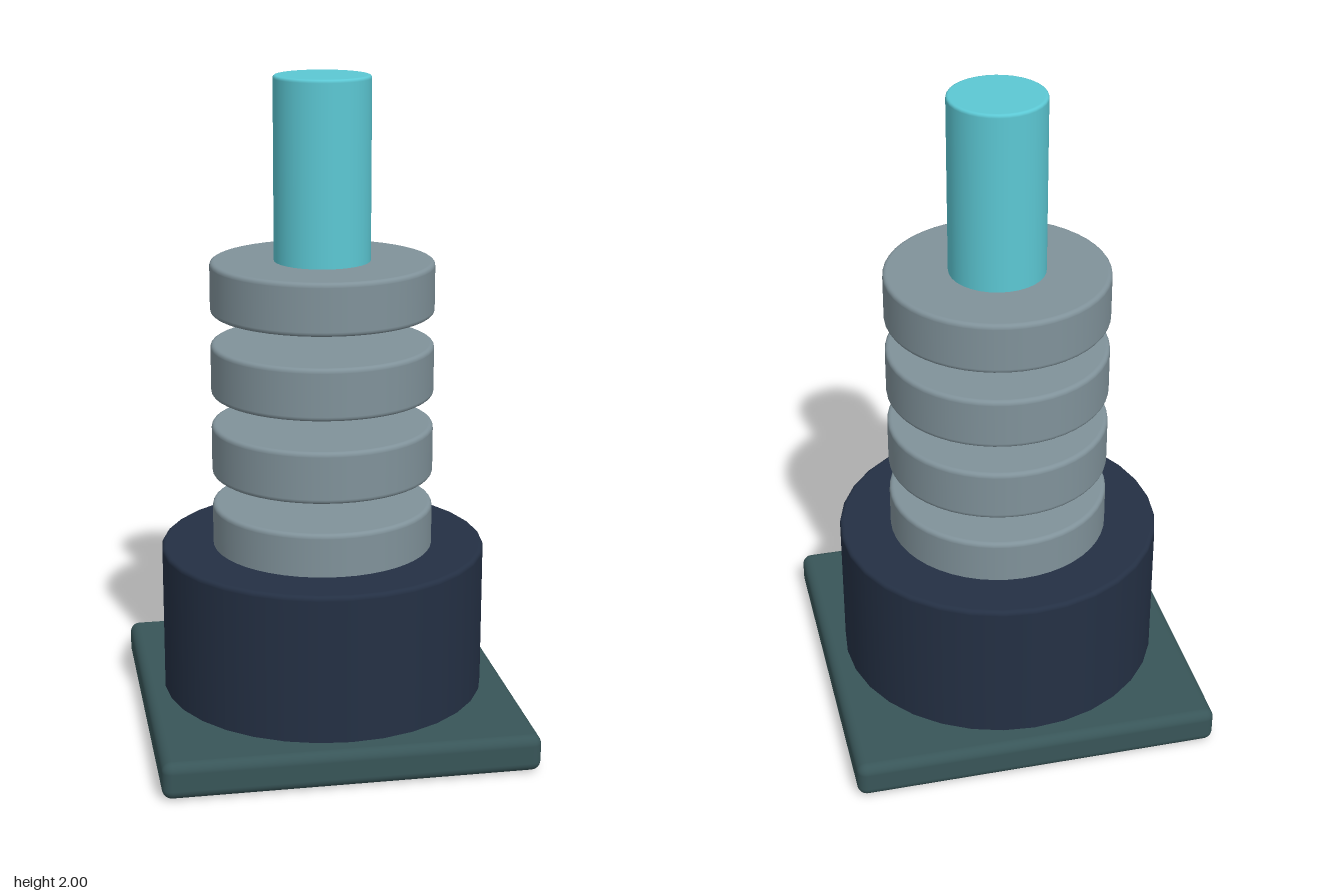
import * as THREE from 'three';
import { RoundedBoxGeometry } from 'three/addons/geometries/RoundedBoxGeometry.js';

const material = (name, color) => {
  const m = new THREE.MeshStandardMaterial({ color });
  m.name = name;
  return m;
};

// Solid round with softened rims, from y0 to y1
function roundedDisc(radius, y0, y1, bevel, sides) {
  const pts = [new THREE.Vector2(0, y0), new THREE.Vector2(radius - bevel - 0.002, y0)];
  const steps = 4;
  const corner = (cy, start) => {
    for (let i = 0; i <= steps; i++) {
      const a = start + (i / steps) * Math.PI / 2;
      pts.push(new THREE.Vector2(radius - bevel + bevel * Math.cos(a), cy + bevel * Math.sin(a)));
    }
  };
  corner(y0 + bevel, -Math.PI / 2);
  // support loops keep the side wall's shading straight
  pts.push(new THREE.Vector2(radius, y0 + bevel + 0.002), new THREE.Vector2(radius, y1 - bevel - 0.002));
  corner(y1 - bevel, 0);
  pts.push(new THREE.Vector2(radius - bevel - 0.002, y1), new THREE.Vector2(0, y1));
  return new THREE.LatheGeometry(pts, sides);
}

export function createModel() {
  const group = new THREE.Group();
  const slate = material('dark teal', 0x385558);
  const navy = material('navy', 0x243044);
  const grey = material('steel grey', 0x80929a);
  const cyan = material('cyan', 0x5cc8d4);

  const add = (name, geometry, mat) => {
    const mesh = new THREE.Mesh(geometry, mat);
    mesh.name = name;
    group.add(mesh);
    return mesh;
  };

  // Square foot plate, a hair above the drum's underside
  add('basePlate', new RoundedBoxGeometry(1.125, 0.113, 1.125, 4, 0.03), slate).position.y = 0.0585;

  // Drum passing through the plate
  add('drum', roundedDisc(0.497, 0, 0.57, 0.012, 32), navy);

  // Stack of evenly spaced separate discs
  for (let i = 0; i < 4; i++) {
    const y = 0.545 + i * 0.25;
    add('disc' + (i + 1), roundedDisc(0.337, y, y + 0.157, 0.012, 48), grey);
  }

  // Upper rod
  add('rod', roundedDisc(0.145, 1.4, 2, 0.008, 32), cyan);

  return group;
}
